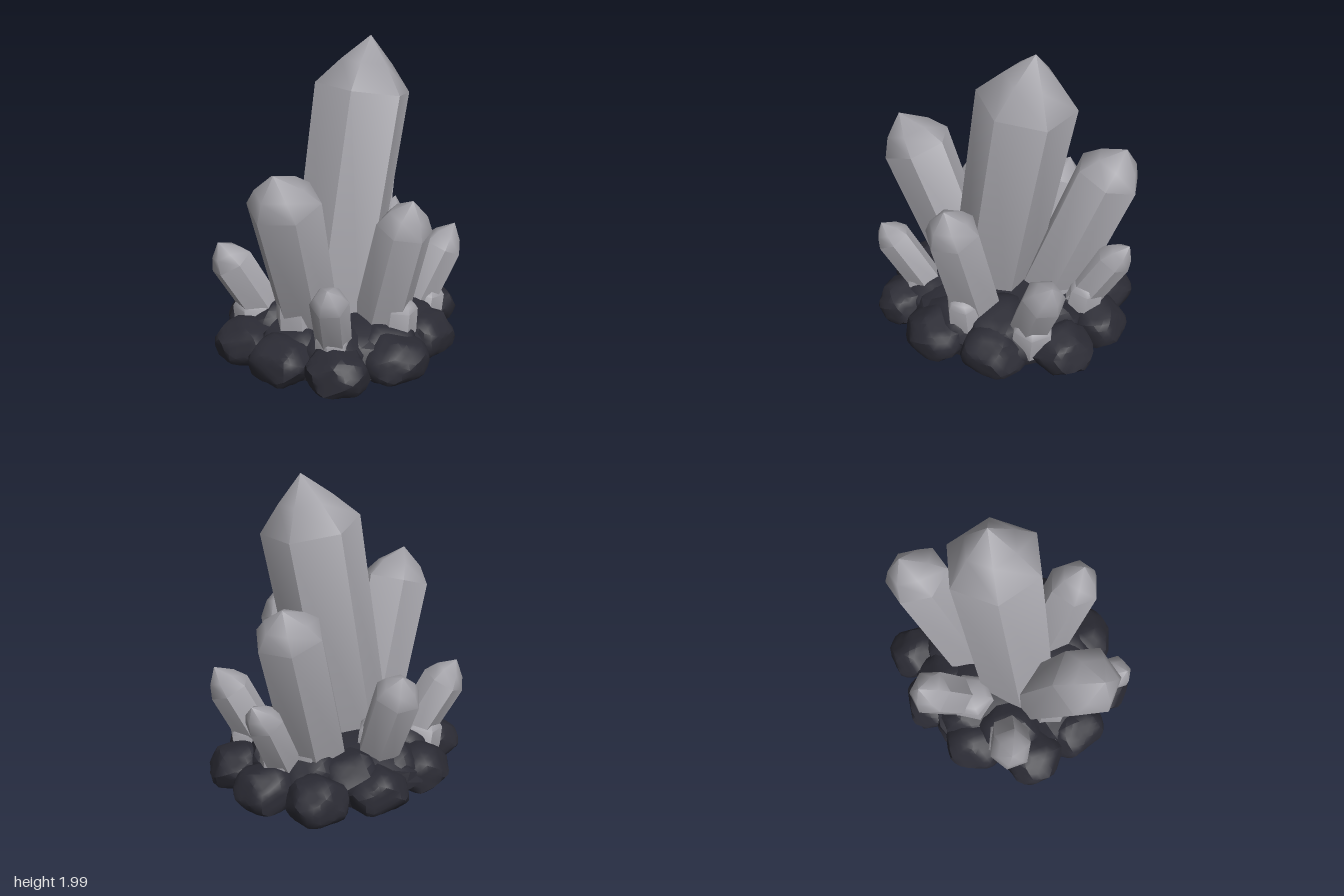
import * as THREE from 'three';
import { toCreasedNormals } from 'three/addons/utils/BufferGeometryUtils.js';

const crystalGrey = new THREE.MeshStandardMaterial({ color: 0xa09fa5 });
crystalGrey.name = 'crystal grey';
const rockDark = new THREE.MeshStandardMaterial({ color: 0x2b2b34 });
rockDark.name = 'dark rock';

let seed = 7;
function rand(a = 0, b = 1) {
  seed = (seed * 16807) % 2147483647;
  return a + (b - a) * (seed / 2147483647);
}

function addMesh(parent, name, geometry, material) {
  const mesh = new THREE.Mesh(geometry, material);
  mesh.name = name;
  parent.add(mesh);
  return mesh;
}

// Six-sided shaft from base to shoulder, with a pointed cap leaning to the tip
function addCrystal(root, { name, base, shoulder, tip, rBase, rTop, turn, bulge }) {
  const a = new THREE.Vector3(...base);
  const axis = new THREE.Vector3(...shoulder).sub(a);
  const length = axis.length();
  const toAxis = new THREE.Quaternion()
    .setFromUnitVectors(new THREE.Vector3(0, 1, 0), axis.normalize());
  const localTip = new THREE.Vector3(...tip).sub(a).applyQuaternion(toAxis.clone().invert());
  const cap = localTip.y - length;
  const profile = [
    [0.001, 0], [rBase, 0], [rTop, length],
    [rTop * (0.5 + bulge), length + cap * 0.5], [0.0005, localTip.y],
  ].map((p) => new THREE.Vector2(...p));
  const geo = new THREE.LatheGeometry(profile, 6);
  geo.rotateY(turn);
  // Shear the cap so that its point meets the tip
  const p = geo.attributes.position;
  for (let i = 0; i < p.count; i++) {
    const t = Math.max(0, (p.getY(i) - length) / cap);
    p.setX(i, p.getX(i) + localTip.x * t);
    p.setZ(i, p.getZ(i) + localTip.z * t);
  }
  const mesh = addMesh(root, name, toCreasedNormals(geo, 1.0), crystalGrey);
  mesh.position.copy(a);
  mesh.quaternion.copy(toAxis);
}

// Boulder: a sphere chiselled by random planes, cut flat at the ground
function addChunk(root, name, [x, y, z], [sx, sy, sz], material) {
  const geo = new THREE.IcosahedronGeometry(1, 4);
  const planes = [];
  for (let i = 0; i < 16; i++) {
    const h = 1 - (2 * i + 1) / 16;
    const ang = i * 2.4 + rand(-0.4, 0.4);
    const r = Math.sqrt(1 - h * h);
    planes.push({ n: new THREE.Vector3(r * Math.cos(ang), h, r * Math.sin(ang)), d: rand(0.86, 0.98) });
  }
  const p = geo.attributes.position;
  const v = new THREE.Vector3();
  for (let i = 0; i < p.count; i++) {
    v.fromBufferAttribute(p, i).normalize();
    let reach = 1.08;
    for (const { n, d } of planes) {
      const c = v.dot(n);
      if (c > 0.1) reach = Math.min(reach, d / c);
    }
    v.multiplyScalar(reach);
    p.setXYZ(i, x + v.x * sx, Math.max(0.01, y + v.y * sy), z + v.z * sz);
  }
  addMesh(root, name, toCreasedNormals(geo, 0.6), material);
}

export function createModel() {
  seed = 7;
  const root = new THREE.Group();
  root.name = 'crystalCluster';

  // Crystals: base, shoulder centre, tip, base radius, shoulder radius, turn, cap bulge
  [
    ['mainCrystal', [-0.07, 0.15, 0.08], [0.15, 1.68, -0.11], [0.2, 2.0, -0.15], 0.28, 0.31, 0.76, 0.04],
    ['frontLeftCrystal', [-0.18, 0.15, 0.2], [-0.335, 1.15, 0.53], [-0.39, 1.35, 0.63], 0.19, 0.228, 0.3, 0.15],
    ['frontRightCrystal', [0.24, 0.15, 0.21], [0.385, 0.93, 0.38], [0.43, 1.12, 0.43], 0.175, 0.175, 0.6, 0.18],
    ['backCrystal', [0.09, 0.15, -0.27], [0.21, 1.15, -0.62], [0.23, 1.33, -0.72], 0.21, 0.215, 0.2, 0.14],
    ['smallBackCrystal', [0.26, 0.15, -0.41], [0.365, 0.6, -0.645], [0.42, 0.73, -0.73], 0.12, 0.12, 0.4, 0.15],
    ['backLeftCrystal', [-0.26, 0.15, -0.23], [-0.42, 0.73, -0.46], [-0.45, 0.87, -0.52], 0.14, 0.15, 0.1, 0.18],
    ['leftCrystal', [-0.44, 0.15, 0.06], [-0.69, 0.6, 0.11], [-0.77, 0.74, 0.13], 0.13, 0.14, 0.5, 0.16],
    ['rightCrystal', [0.47, 0.15, -0.07], [0.68, 0.59, -0.14], [0.77, 0.74, -0.17], 0.135, 0.138, 0.05, 0.16],
    ['frontCrystal', [-0.04, 0.15, 0.48], [-0.075, 0.6, 0.73], [-0.09, 0.71, 0.8], 0.112, 0.118, 0.5, 0.18],
  ].forEach(([name, base, shoulder, tip, rBase, rTop, turn, bulge]) =>
    addCrystal(root, { name, base, shoulder, tip, rBase, rTop, turn, bulge }));

  // Broken stubs leaning outward around the crystal feet: foot, height, radius, turn
  [
    [-0.26, 0.31, 0.55, 0.15, 0.2], [-0.52, 0.07, 0.37, 0.16, 0.6], [0.54, -0.09, 0.36, 0.15, 0.3],
    [0.35, 0.3, 0.44, 0.13, 0.5], [-0.29, -0.21, 0.47, 0.17, 0], [0.3, -0.46, 0.42, 0.13, 0.4],
    [-0.05, 0.54, 0.36, 0.12, 0.7], [0.13, -0.35, 0.58, 0.19, 0.2],
  ].forEach(([x, z, top, r, turn], i) => addCrystal(root, {
    name: `brokenStub${i + 1}`,
    base: [x, 0.12, z],
    shoulder: [x * 1.06, top - 0.07, z * 1.06],
    tip: [x * 1.1, top, z * 1.1],
    rBase: r, rTop: r * 0.9, turn, bulge: 0.25,
  }));

  // Outer ring of boulders
  [
    [0.04, -0.67, 0.19], [0.37, -0.55, 0.2], [0.59, -0.27, 0.205], [0.53, 0.14, 0.215], [0.32, 0.48, 0.215],
    [-0.03, 0.66, 0.2], [-0.35, 0.5, 0.21], [-0.57, 0.25, 0.22], [-0.53, -0.16, 0.215], [-0.3, -0.48, 0.205],
  ].forEach(([x, z, r], i) =>
    addChunk(root, `outerBoulder${i + 1}`, [x, 0.095, z], [r, 0.165, r], rockDark));

  // Taller inner boulders and a broad core closing the gaps
  for (let i = 0; i < 9; i++) {
    const a = (i / 9) * Math.PI * 2 + 0.2;
    addChunk(root, `innerBoulder${i + 1}`, [0.4 * Math.cos(a), 0.14, 0.42 * Math.sin(a)],
      [0.24, rand(0.16, 0.2), 0.24], rockDark);
  }
  addChunk(root, 'rockCore', [0, 0.1, 0], [0.63, 0.25, 0.65], rockDark);

  return root;
}
